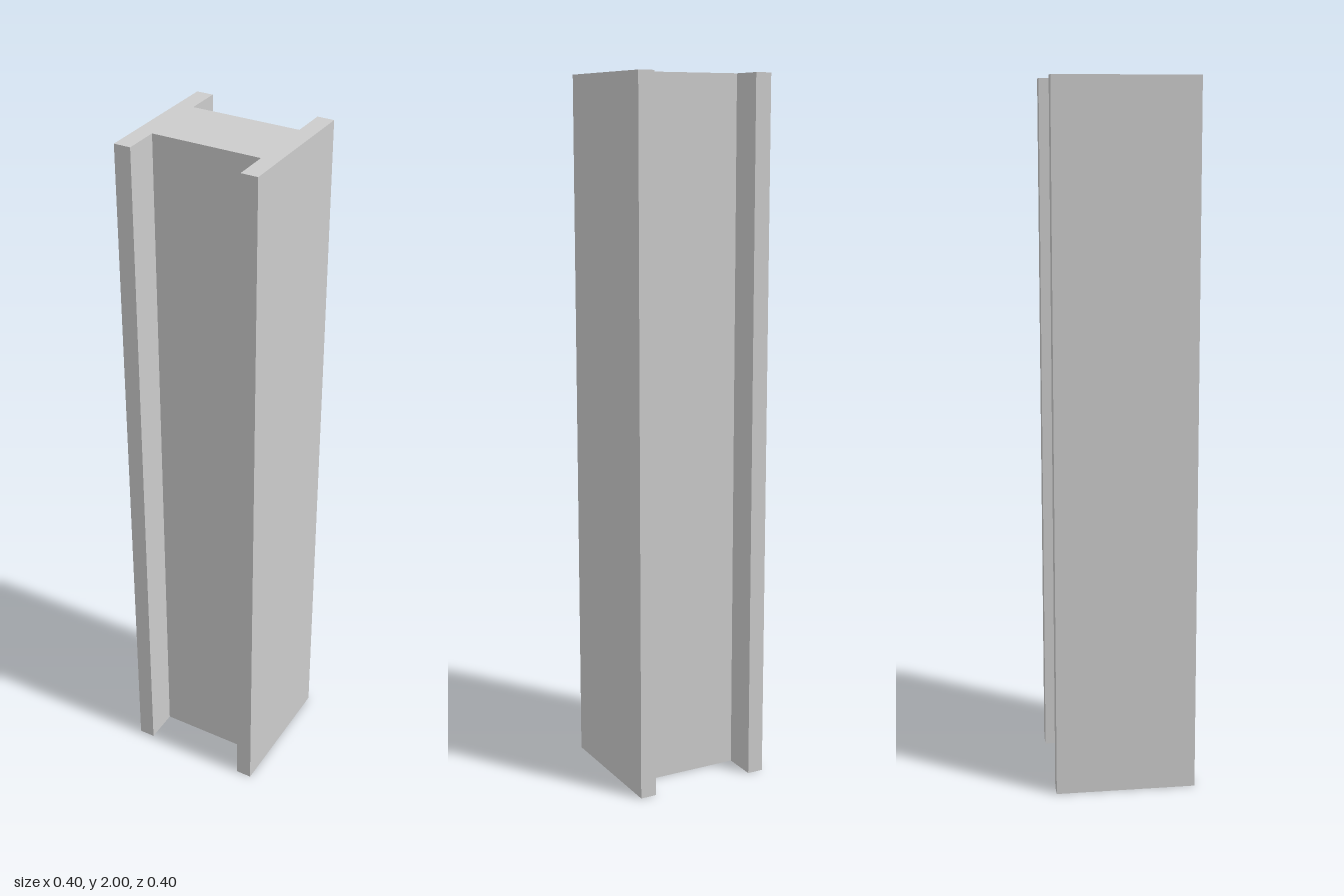
import * as THREE from 'three';

const HEIGHT = 2;
const HALF = 0.2;     // half width and depth of the flanges
const INNER = 0.153;  // inner face of each flange
const WEB = 0.1;      // half thickness of the web

export function createModel() {
  const group = new THREE.Group();
  group.name = 'beam';

  // One H-shaped cross-section: two flanges joined by a thick web
  const quarter = [[HALF, HALF], [INNER, HALF], [INNER, WEB]];
  const mirrored = (sx, sy) => quarter.map(([x, y]) => new THREE.Vector2(x * sx, y * sy));
  const outline = [
    ...mirrored(1, 1),
    ...mirrored(-1, 1).reverse(),
    ...mirrored(-1, -1),
    ...mirrored(1, -1).reverse(),
  ];

  // Extrude the section and stand it upright on y = 0
  const geometry = new THREE.ExtrudeGeometry(new THREE.Shape(outline), {
    depth: HEIGHT,
    bevelEnabled: false,
  });
  geometry.rotateX(-Math.PI / 2);

  const material = new THREE.MeshStandardMaterial({ color: 0xcccccc, flatShading: true });
  const beam = new THREE.Mesh(geometry, material);
  beam.name = 'hBeamColumn';
  group.add(beam);
  return group;
}
